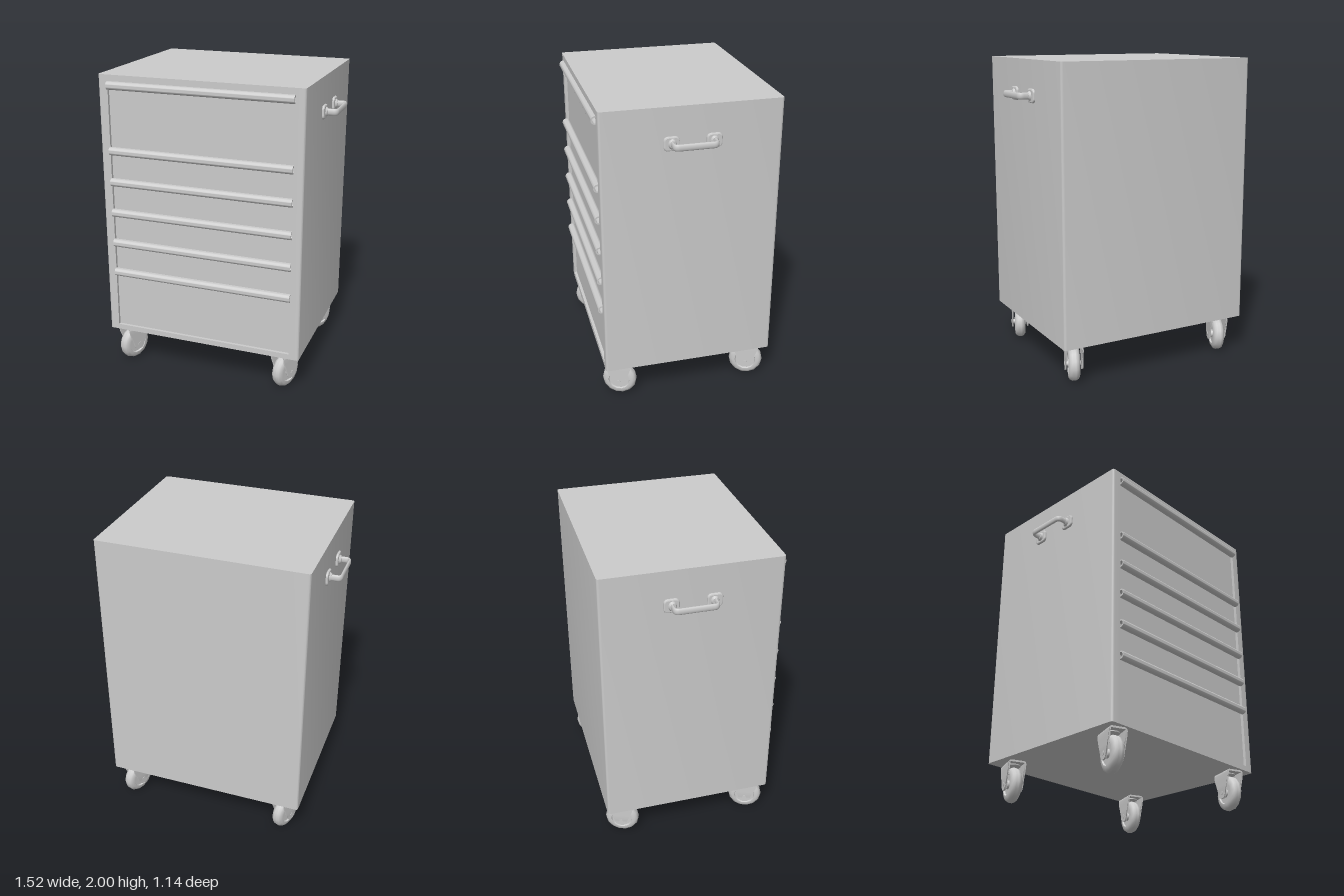
import * as THREE from 'three';
import { toCreasedNormals } from 'three/addons/utils/BufferGeometryUtils.js';

const grey = new THREE.MeshStandardMaterial({ color: 0xcccccc, side: THREE.DoubleSide });

// Cabinet limits
const W = 0.666, BOTTOM = 0.255, TOP = 2, BACK = -0.57, FRONT = 0.54;
const RECESS_W = 0.603, RECESS_Z = 0.518, RECESS_BOTTOM = 0.29, RECESS_TOP = 1.96;

function add(parent, name, geometry, x = 0, y = 0, z = 0) {
  const mesh = new THREE.Mesh(geometry, grey);
  mesh.name = name;
  mesh.position.set(x, y, z);
  parent.add(mesh);
  return mesh;
}

function box(parent, name, x0, x1, y0, y1, z0, z1) {
  return add(parent, name, new THREE.BoxGeometry(x1 - x0, y1 - y0, z1 - z0),
    (x0 + x1) / 2, (y0 + y1) / 2, (z0 + z1) / 2);
}

// Carcass: plan outline with softened corners and a front notch, raised upwards
function buildCarcass(parent) {
  const r = 0.016, s = new THREE.Shape();
  s.moveTo(-W + r, -BACK);
  s.lineTo(W - r, -BACK);
  s.quadraticCurveTo(W, -BACK, W, -BACK - r);
  s.lineTo(W, -FRONT + r);
  s.quadraticCurveTo(W, -FRONT, W - r, -FRONT);
  s.lineTo(RECESS_W, -FRONT);
  s.lineTo(RECESS_W, -RECESS_Z);
  s.lineTo(-RECESS_W, -RECESS_Z);
  s.lineTo(-RECESS_W, -FRONT);
  s.lineTo(-W + r, -FRONT);
  s.quadraticCurveTo(-W, -FRONT, -W, -FRONT + r);
  s.lineTo(-W, -BACK - r);
  s.quadraticCurveTo(-W, -BACK, -W + r, -BACK);
  const g = new THREE.ExtrudeGeometry(s, { depth: TOP - BOTTOM, bevelEnabled: false, curveSegments: 4 });
  g.rotateX(-Math.PI / 2);
  add(parent, 'carcass', toCreasedNormals(g, 0.6), 0, BOTTOM, 0);
  box(parent, 'topRail', -RECESS_W, RECESS_W, RECESS_TOP, TOP, RECESS_Z, FRONT);
  box(parent, 'bottomRail', -RECESS_W, RECESS_W, BOTTOM, RECESS_BOTTOM, RECESS_Z, FRONT);
}

// Drawer fronts, each with a curled full-width pull along its top edge
function buildDrawers(parent) {
  const tops = [1.96, 1.541, 1.335, 1.127, 0.918, 0.71];
  const r = 0.0265, s = new THREE.Shape();
  s.absarc(0, 0, r, -2.3, 2.6, false);
  s.absarc(0, 0, r - 0.009, 2.6, -2.3, true);
  const pull = new THREE.ExtrudeGeometry(s, { depth: RECESS_W * 2, bevelEnabled: false, curveSegments: 16 });
  pull.translate(0, 0, -RECESS_W);
  pull.rotateY(-Math.PI / 2);
  const pullGeometry = toCreasedNormals(pull, 0.7);
  tops.forEach((top, i) => {
    const drawer = new THREE.Group();
    drawer.name = 'drawer' + (i + 1);
    box(drawer, 'drawerFront', -RECESS_W, RECESS_W, tops[i + 1] ?? RECESS_BOTTOM, top, RECESS_Z - 0.01, RECESS_Z + 0.003);
    add(drawer, 'drawerPull', pullGeometry, 0, top - r, FRONT + 0.002);
    parent.add(drawer);
  });
}

function roundedRect(w, h, r) {
  const s = new THREE.Shape();
  s.absarc(w / 2 - r, h / 2 - r, r, 0, Math.PI / 2);
  s.absarc(-w / 2 + r, h / 2 - r, r, Math.PI / 2, Math.PI);
  s.absarc(-w / 2 + r, -h / 2 + r, r, Math.PI, Math.PI * 1.5);
  s.absarc(w / 2 - r, -h / 2 + r, r, Math.PI * 1.5, Math.PI * 2);
  return s;
}

// Side handle for the +x wall: two mounting plates and a flattened bent bar
function buildHandle(side) {
  const handle = new THREE.Group();
  handle.name = side > 0 ? 'leftHandle' : 'rightHandle';
  const plate = new THREE.ExtrudeGeometry(roundedRect(0.08, 0.072, 0.018), {
    depth: 0.008, bevelThickness: 0.008, bevelSize: 0.008, bevelSegments: 2, curveSegments: 5,
  });
  plate.rotateY(Math.PI / 2);
  const reach = 0.082, half = 0.13, c = 0.026;
  const v = (x, z) => new THREE.Vector3(x, 0, z);
  const path = new THREE.CurvePath();
  path.add(new THREE.LineCurve3(v(0, half), v(reach - c, half)));
  path.add(new THREE.QuadraticBezierCurve3(v(reach - c, half), v(reach, half), v(reach, half - c)));
  path.add(new THREE.LineCurve3(v(reach, half - c), v(reach, c - half)));
  path.add(new THREE.QuadraticBezierCurve3(v(reach, c - half), v(reach, -half), v(reach - c, -half)));
  path.add(new THREE.LineCurve3(v(reach - c, -half), v(0, -half)));
  const bar = new THREE.TubeGeometry(path, 72, 0.01, 12, false);
  bar.scale(1, 2.1, 1);
  add(handle, 'handleBar', bar);
  const foot = new THREE.CylinderGeometry(0.018, 0.026, 0.014, 16);
  foot.rotateZ(-Math.PI / 2);
  foot.scale(1, 1.25, 1);
  for (const e of [1, -1]) {
    add(handle, 'handlePlate', plate, -0.002, 0, e * 0.13);
    add(handle, 'handleFoot', foot, 0.02, 0, e * 0.127);
  }
  handle.position.set(side * W, 1.778, -0.015);
  if (side < 0) handle.rotation.y = Math.PI;
  return handle;
}

// Caster fork: inverted U section, its depth tapered towards a rounded lower end
function forkGeometry() {
  const out = 0.058, inn = 0.047, axle = 0.115, end = 0.042, r = 0.022;
  const levels = [0.2, 0.16, axle, 0.1, 0.088, 0.08, 0.0755];
  const s = new THREE.Shape();
  s.moveTo(-out, levels.at(-1));
  [...levels].reverse().slice(1).forEach((y) => s.lineTo(-out, y));
  s.lineTo(-out, BOTTOM - r);
  s.quadraticCurveTo(-out, BOTTOM, -out + r, BOTTOM);
  s.lineTo(out - r, BOTTOM);
  s.quadraticCurveTo(out, BOTTOM, out, BOTTOM - r);
  levels.forEach((y) => s.lineTo(out, y));
  [...levels].reverse().forEach((y) => s.lineTo(inn, y));
  s.lineTo(inn, BOTTOM - 0.012);
  s.lineTo(-inn, BOTTOM - 0.012);
  levels.forEach((y) => s.lineTo(-inn, y));
  const g = new THREE.ExtrudeGeometry(s, { depth: 2, bevelEnabled: false, curveSegments: 5 });
  g.translate(0, 0, -1);
  const halfDepth = (y) => {
    if (y >= 0.22) return 0.084;
    if (y >= axle) return THREE.MathUtils.lerp(end, 0.084, (y - axle) / (0.22 - axle));
    return Math.sqrt(Math.max(0.0001, end * end - (axle - y) ** 2));
  };
  const p = g.attributes.position;
  for (let i = 0; i < p.count; i++) p.setZ(i, p.getZ(i) * halfDepth(p.getY(i)));
  return toCreasedNormals(g, 0.6);
}

// Wheel: rounded tyre with recessed sides and a raised hub
function wheelGeometry() {
  const side = [[0, 0.04], [0.026, 0.04], [0.028, 0.027], [0.066, 0.027], [0.07, 0.037],
    [0.088, 0.036], [0.104, 0.026], [0.112, 0.01]];
  const points = [...side.map(([r, x]) => new THREE.Vector2(r, -x)),
    ...side.map(([r, x]) => new THREE.Vector2(r, x)).reverse()];
  const g = new THREE.LatheGeometry(points, 14);
  g.rotateZ(Math.PI / 2);
  return toCreasedNormals(g, 0.75);
}

function buildCasters(parent) {
  const fork = forkGeometry(), wheel = wheelGeometry();
  const axle = new THREE.CylinderGeometry(0.014, 0.014, 0.122, 10).rotateZ(Math.PI / 2);
  const swivel = new THREE.CylinderGeometry(0.045, 0.045, 0.012, 16);
  for (const [end, z] of [['front', 0.43], ['back', -0.452]]) {
    for (const x of [0.55, -0.55]) {
      const caster = new THREE.Group();
      caster.name = end + (x > 0 ? 'Left' : 'Right') + 'Caster';
      add(caster, 'fork', fork);
      add(caster, 'wheel', wheel, 0, 0.113, 0);
      add(caster, 'axle', axle, 0, 0.113, 0);
      add(caster, 'swivel', swivel, 0, BOTTOM - 0.012, 0);
      caster.position.set(x, 0, z);
      caster.rotation.y = -0.38;
      parent.add(caster);
    }
  }
}

export function createModel() {
  const model = new THREE.Group();
  model.name = 'drawerTrolley';
  buildCarcass(model);
  buildDrawers(model);
  model.add(buildHandle(1), buildHandle(-1));
  buildCasters(model);
  return model;
}
